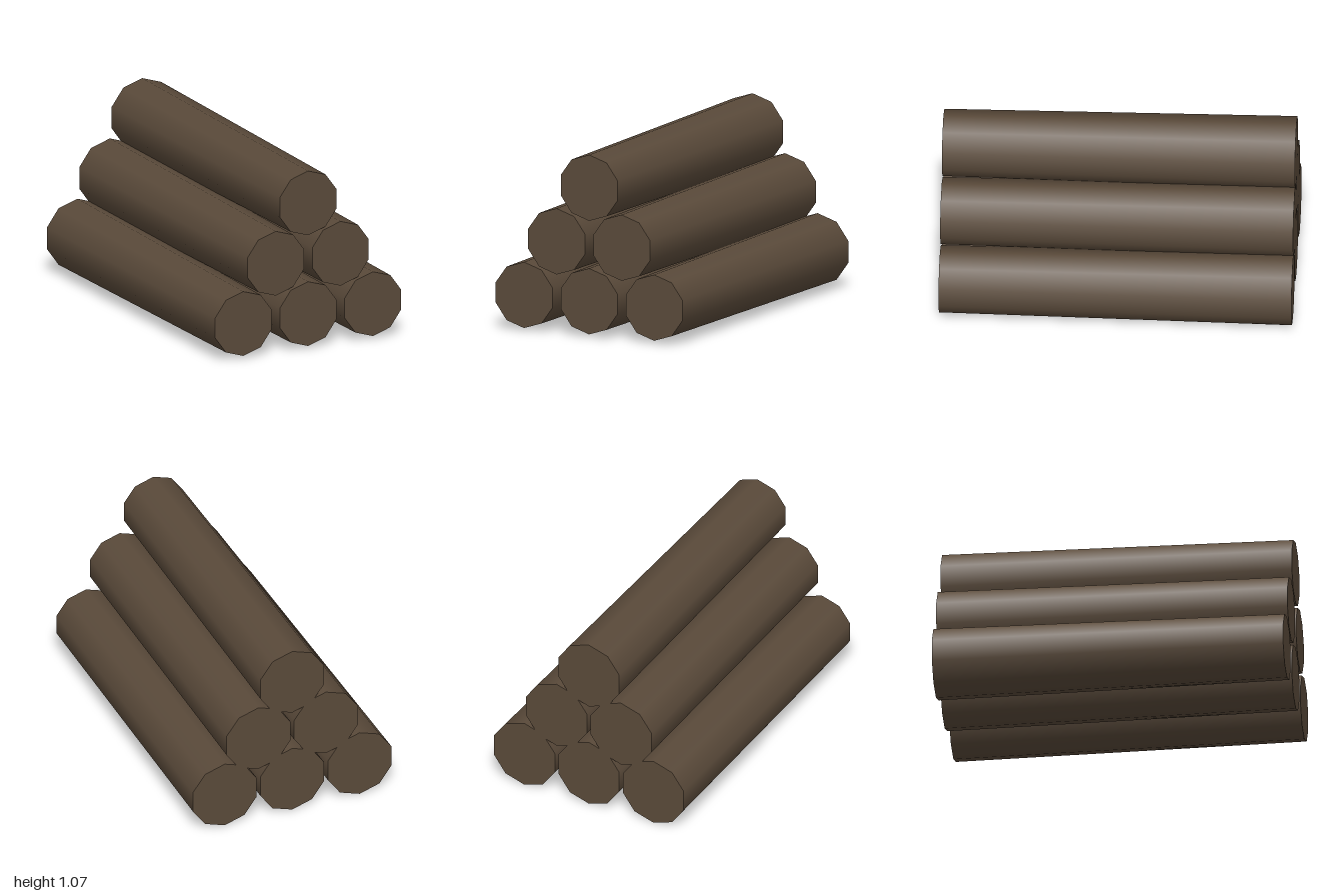
import * as THREE from 'three';

export function createModel() {
  const pile = new THREE.Group();
  pile.name = 'logPile';

  const bark = new THREE.MeshStandardMaterial({ color: 0x5a4a3a });
  bark.name = 'darkBark';

  // Ten-sided log lying along z, slightly thinner at the front
  const logGeometry = new THREE.CylinderGeometry(0.19, 0.206, 2, 10);
  logGeometry.rotateX(Math.PI / 2);

  // Three rows: three logs, then two, then one
  const spacing = 0.415, rowHeight = 0.327, baseY = 0.208;
  for (let row = 0; row < 3; row++) {
    const count = 3 - row;
    for (let i = 0; i < count; i++) {
      const log = new THREE.Mesh(logGeometry, bark);
      log.name = `logRow${row + 1}Number${i + 1}`;
      log.position.set((i - (count - 1) / 2) * spacing, baseY + row * rowHeight, 0);
      pile.add(log);
    }
  }
  return pile;
}
